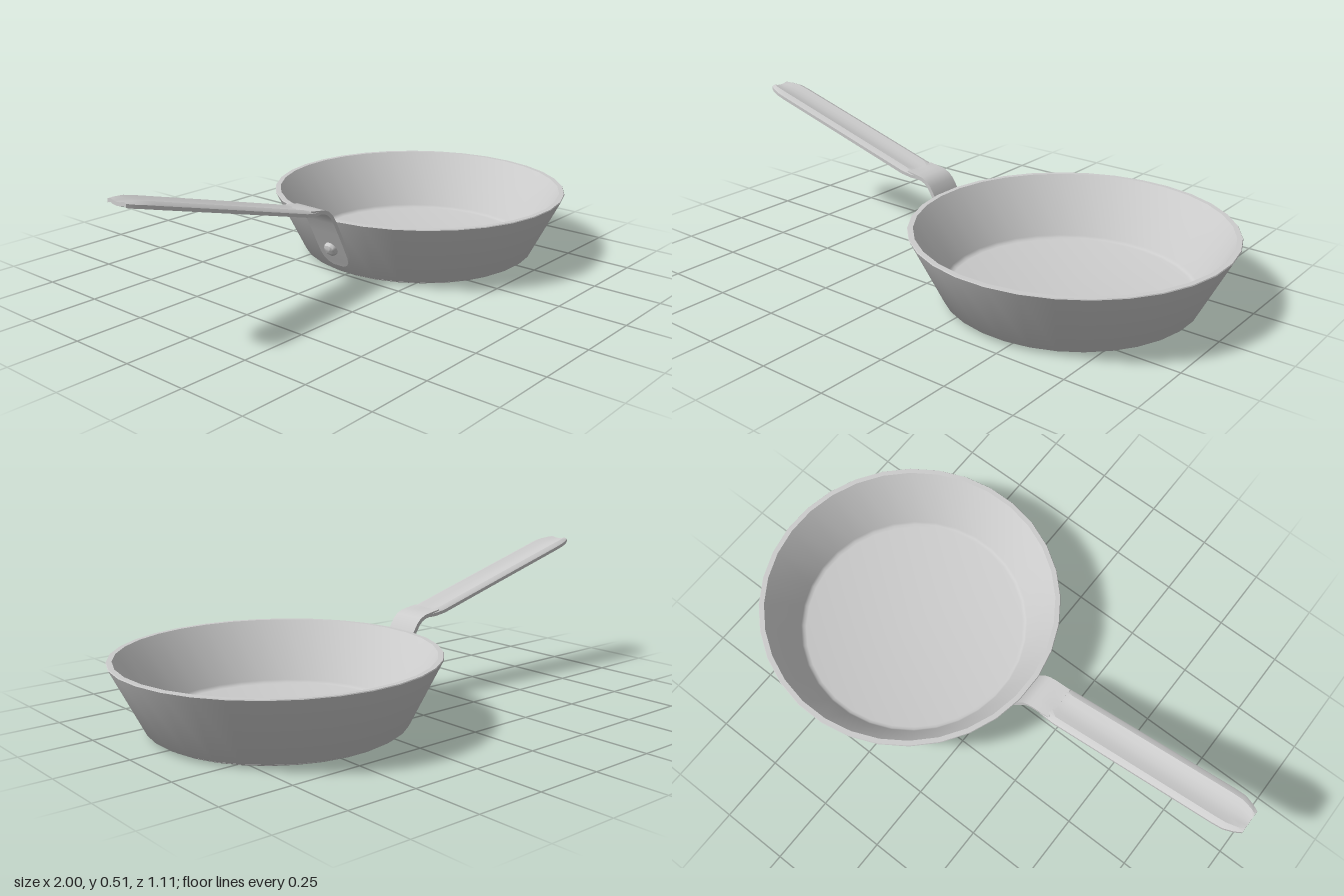
import * as THREE from 'three';
import { toCreasedNormals } from 'three/addons/utils/BufferGeometryUtils.js';

const PAN_X = 0.44;

// Strip swept along stations [x, y, halfWidth, edgeDrop, channelDepth]
function sweepStrip(stations, thickness) {
  const across = [-1, -0.93, -0.7, -0.35, 0, 0.35, 0.7, 0.93, 1];
  const n = across.length, ring = n * 2;
  const pos = [], idx = [];
  stations.forEach(([x, y, w, drop, dip], i) => {
    const a = stations[Math.max(i - 1, 0)], b = stations[Math.min(i + 1, stations.length - 1)];
    const len = Math.hypot(b[0] - a[0], b[1] - a[1]);
    const nx = (b[1] - a[1]) / len, ny = -(b[0] - a[0]) / len;
    const put = (u, side) => {
      const edge = Math.max(0, (Math.abs(u) - 0.7) / 0.3);
      const h = side * thickness / 2 - drop * edge * edge - dip * Math.max(0, 1 - (u / 0.7) ** 2);
      pos.push(x + nx * h, y + ny * h, u * w);
    };
    across.forEach(u => put(u, 1));
    [...across].reverse().forEach(u => put(u, -1));
  });
  const last = (stations.length - 1) * ring;
  for (let i = 0; i < last; i += ring) {
    for (let j = 0; j < ring; j++) {
      const k = (j + 1) % ring;
      idx.push(i + j, i + ring + j, i + k, i + k, i + ring + j, i + ring + k);
    }
  }
  // End caps
  for (let j = 0; j < n - 1; j++) {
    const a = j, b = j + 1, c = ring - 2 - j, d = ring - 1 - j;
    idx.push(a, b, c, a, c, d);
    idx.push(last + a, last + c, last + b, last + a, last + d, last + c);
  }
  const g = new THREE.BufferGeometry();
  g.setAttribute('position', new THREE.Float32BufferAttribute(pos, 3));
  g.setIndex(idx);
  return toCreasedNormals(g, 0.6);
}

export function createModel() {
  const group = new THREE.Group();
  const material = new THREE.MeshStandardMaterial({ color: 0xcccccc });
  const add = (name, geometry) => {
    const mesh = new THREE.Mesh(geometry, material);
    mesh.name = name;
    group.add(mesh);
    return mesh;
  };
  const lathe = (points, segments, phi = 0) => toCreasedNormals(
    new THREE.LatheGeometry(points.map(p => new THREE.Vector2(...p)), segments, phi), 0.6);

  // Flared bowl with a raised base, flat rim and flat cooking floor
  add('panBody', lathe([
    [0, 0], [0.42, 0], [0.425, 0.004], [0.425, 0.01], [0.438, 0.01], [0.446, 0.016],
    [0.56, 0.245], [0.558, 0.248], [0.54, 0.248], [0.536, 0.244],
    [0.44, 0.036], [0.433, 0.028], [0.422, 0.025], [0, 0.025],
  ], 32, Math.PI / 32)).position.x = PAN_X;

  // Flat neck: rounded tab up the wall, bending over the rim
  add('handleNeck', sweepStrip([
    [-0.029, 0.05, 0.025, 0, 0], [-0.034, 0.06, 0.045, 0, 0], [-0.042, 0.075, 0.058, 0, 0],
    [-0.055, 0.1, 0.064, 0, 0], [-0.08, 0.15, 0.065, 0, 0], [-0.105, 0.2, 0.065, 0, 0],
    [-0.128, 0.245, 0.065, 0, 0], [-0.145, 0.272, 0.065, 0, 0], [-0.162, 0.288, 0.065, 0, 0],
    [-0.182, 0.297, 0.065, 0, 0], [-0.21, 0.302, 0.065, 0, 0], [-0.25, 0.308, 0.064, 0, 0.004],
  ], 0.014));

  // Grip: shallow channel with turned-down edges and a chamfered tip
  add('handleGrip', sweepStrip([
    [-0.2, 0.3, 0.064, 0.002, 0], [-0.23, 0.305, 0.067, 0.006, 0.003],
    [-0.27, 0.316, 0.07, 0.01, 0.009], [-0.6, 0.408, 0.07, 0.01, 0.01],
    [-0.9, 0.491, 0.07, 0.01, 0.01], [-0.94, 0.501, 0.068, 0.009, 0.009],
    [-0.975, 0.506, 0.056, 0.007, 0.008], [-0.998, 0.508, 0.043, 0.004, 0.006],
  ], 0.012));

  // Domed rivet fixing the tab to the wall
  const rivet = add('rivet', lathe([
    [0, -0.012], [0.028, -0.012], [0.028, 0.004], [0.024, 0.013], [0.014, 0.019], [0, 0.021],
  ], 20));
  rivet.position.set(-0.074, 0.122, 0);
  rivet.quaternion.setFromUnitVectors(
    new THREE.Vector3(0, 1, 0), new THREE.Vector3(-0.893, -0.45, 0).normalize());

  return group;
}
